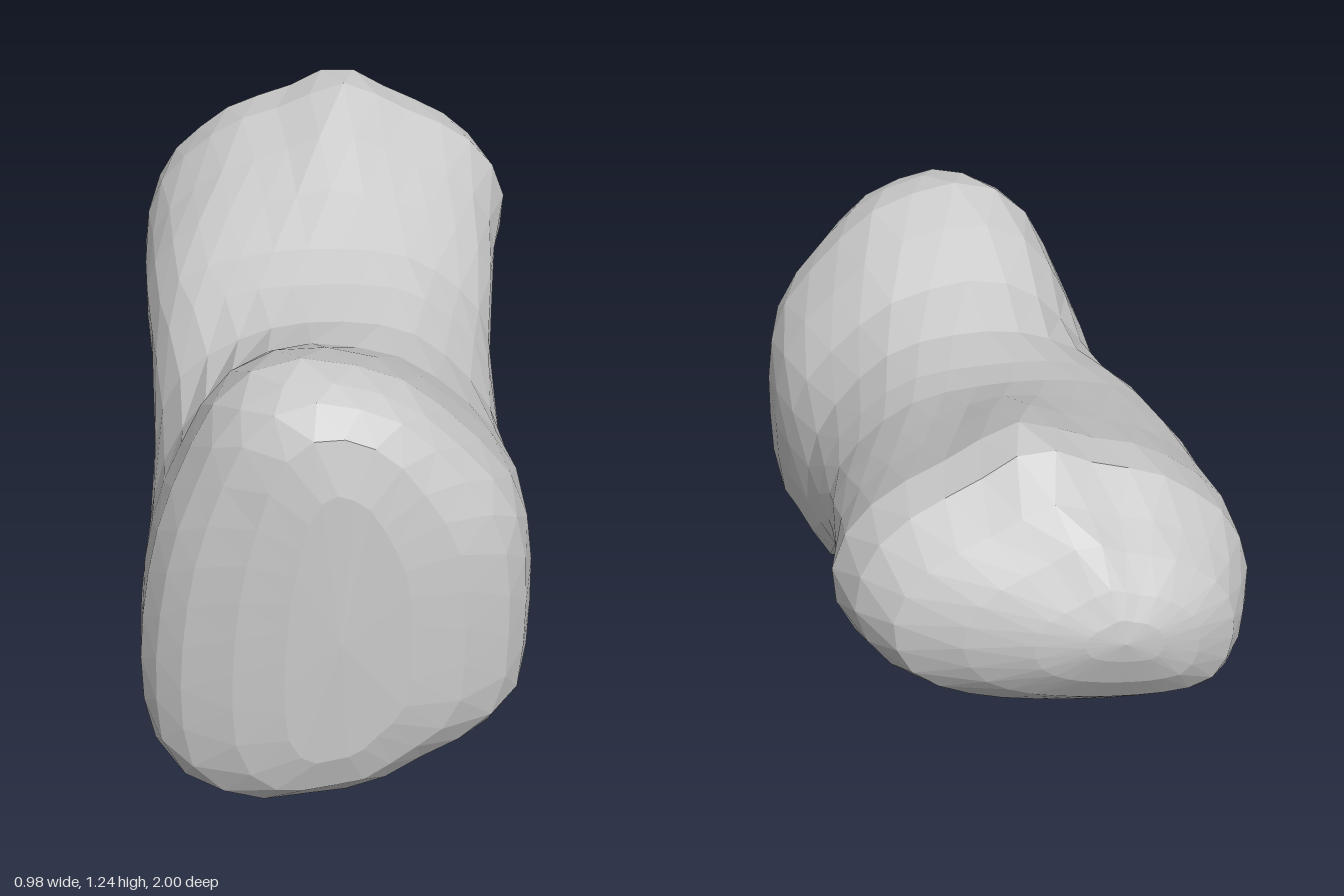
import * as THREE from 'three';

const SIDES = 28;

// Closed outlines, clockwise from the top: tall front lobe, boxy neck, rounder rear lobe
const outline = (pts) => new THREE.CatmullRomCurve3(
  pts.map(([x, y]) => new THREE.Vector3(x, y, 0)), true);

const frontOutline = outline([
  [-0.1, 1.145], [0, 1.13], [0.13, 1.085], [0.285, 0.95], [0.39, 0.82], [0.43, 0.7], [0.44, 0.45],
  [0.42, 0.28], [0.35, 0.2], [0.2, 0.12], [0.05, 0.04], [-0.12, 0.015], [-0.28, 0], [-0.39, 0.035],
  [-0.465, 0.11], [-0.487, 0.22], [-0.49, 0.36], [-0.465, 0.58], [-0.425, 0.75], [-0.37, 0.89],
  [-0.31, 1.02], [-0.22, 1.11],
]);
const neckOutline = outline([
  [-0.02, 0.97], [0.18, 0.95], [0.3, 0.87], [0.38, 0.77], [0.41, 0.66], [0.4, 0.53], [0.35, 0.465],
  [0.22, 0.44], [0, 0.425], [-0.2, 0.42], [-0.34, 0.45], [-0.42, 0.53], [-0.46, 0.66], [-0.445, 0.8],
  [-0.38, 0.895], [-0.22, 0.955],
]);
const rearOutline = outline([
  [0.05, 1.24], [0.2, 1.17], [0.36, 1.09], [0.45, 1.0], [0.49, 0.87], [0.46, 0.76], [0.41, 0.69],
  [0.27, 0.61], [0.1, 0.56], [-0.1, 0.525], [-0.27, 0.515], [-0.4, 0.535], [-0.465, 0.62],
  [-0.49, 0.76], [-0.48, 0.87], [-0.43, 0.98], [-0.36, 1.05], [-0.25, 1.13], [-0.1, 1.18],
]);

// Cross-sections from front to rear: z, min x, max x, bottom, top
const sections = [
  [0.99, -0.15, 0.14, 0.2, 0.93],
  [0.96, -0.27, 0.265, 0.1, 1.055],
  [0.90, -0.39, 0.37, 0.03, 1.115],
  [0.84, -0.45, 0.415, 0.008, 1.13],
  [0.75, -0.487, 0.435, 0.0, 1.145],
  [0.60, -0.49, 0.44, 0.05, 1.09],
  [0.44, -0.47, 0.43, 0.125, 1.015],
  [0.25, -0.455, 0.415, 0.235, 0.97],
  [0.07, -0.46, 0.41, 0.41, 0.98],
  [-0.07, -0.465, 0.41, 0.485, 1.01],
  [-0.25, -0.48, 0.43, 0.54, 1.09],
  [-0.42, -0.487, 0.45, 0.53, 1.165],
  [-0.60, -0.492, 0.49, 0.515, 1.24],
  [-0.72, -0.475, 0.46, 0.53, 1.23],
  [-0.82, -0.435, 0.39, 0.58, 1.155],
  [-0.90, -0.385, 0.25, 0.645, 1.085],
  [-0.96, -0.285, 0.1, 0.735, 1.005],
  [-0.99, -0.19, -0.01, 0.82, 0.94],
];

// Blend the outlines along z and fit the ring into its section box
function makeRing([z, x0, x1, y0, y1], r) {
  const toNeck = THREE.MathUtils.smoothstep(-z, -0.65, -0.12);
  const toRear = THREE.MathUtils.smoothstep(-z, 0, 0.5);
  const pts = [];
  for (let i = 0; i < SIDES; i++) {
    const t = ((i + (r % 2) * 0.5) / SIDES) % 1;
    pts.push(frontOutline.getPointAt(t)
      .lerp(neckOutline.getPointAt(t), toNeck)
      .lerp(rearOutline.getPointAt(t), toRear));
  }
  const box = new THREE.Box3().setFromPoints(pts);
  return pts.map((p) => [
    THREE.MathUtils.mapLinear(p.x, box.min.x, box.max.x, x0, x1),
    THREE.MathUtils.mapLinear(p.y, box.min.y, box.max.y, y0, y1),
    z,
  ]);
}

function bodyGeometry() {
  const positions = sections.flatMap((s, r) => makeRing(s, r)).flat();
  const index = [];
  const at = (r, i) => r * SIDES + (i % SIDES);
  const last = sections.length - 1;

  // Staggered triangle bands between neighbouring rings
  for (let r = 0; r < last; r++) {
    for (let i = 0; i < SIDES; i++) {
      const a = at(r, i), b = at(r, i + 1), c = at(r + 1, i), d = at(r + 1, i + 1);
      if (r % 2 === 0) index.push(a, b, c, b, d, c);
      else index.push(a, d, c, a, b, d);
    }
  }

  // Close both ends with fans
  const frontTip = positions.length / 3;
  positions.push(-0.02, 0.54, 1.0, -0.1, 0.88, -1.0);
  for (let i = 0; i < SIDES; i++) {
    index.push(frontTip, at(0, i + 1), at(0, i));
    index.push(frontTip + 1, at(last, i), at(last, i + 1));
  }

  const geometry = new THREE.BufferGeometry();
  geometry.setAttribute('position', new THREE.Float32BufferAttribute(positions, 3));
  geometry.setIndex(index);
  geometry.computeVertexNormals();
  return geometry;
}

export function createModel() {
  const group = new THREE.Group();
  group.name = 'boneShapedRock';
  const material = new THREE.MeshStandardMaterial({ color: 0xcccccc, flatShading: true });
  const body = new THREE.Mesh(bodyGeometry(), material);
  body.name = 'body';
  group.add(body);
  return group;
}
